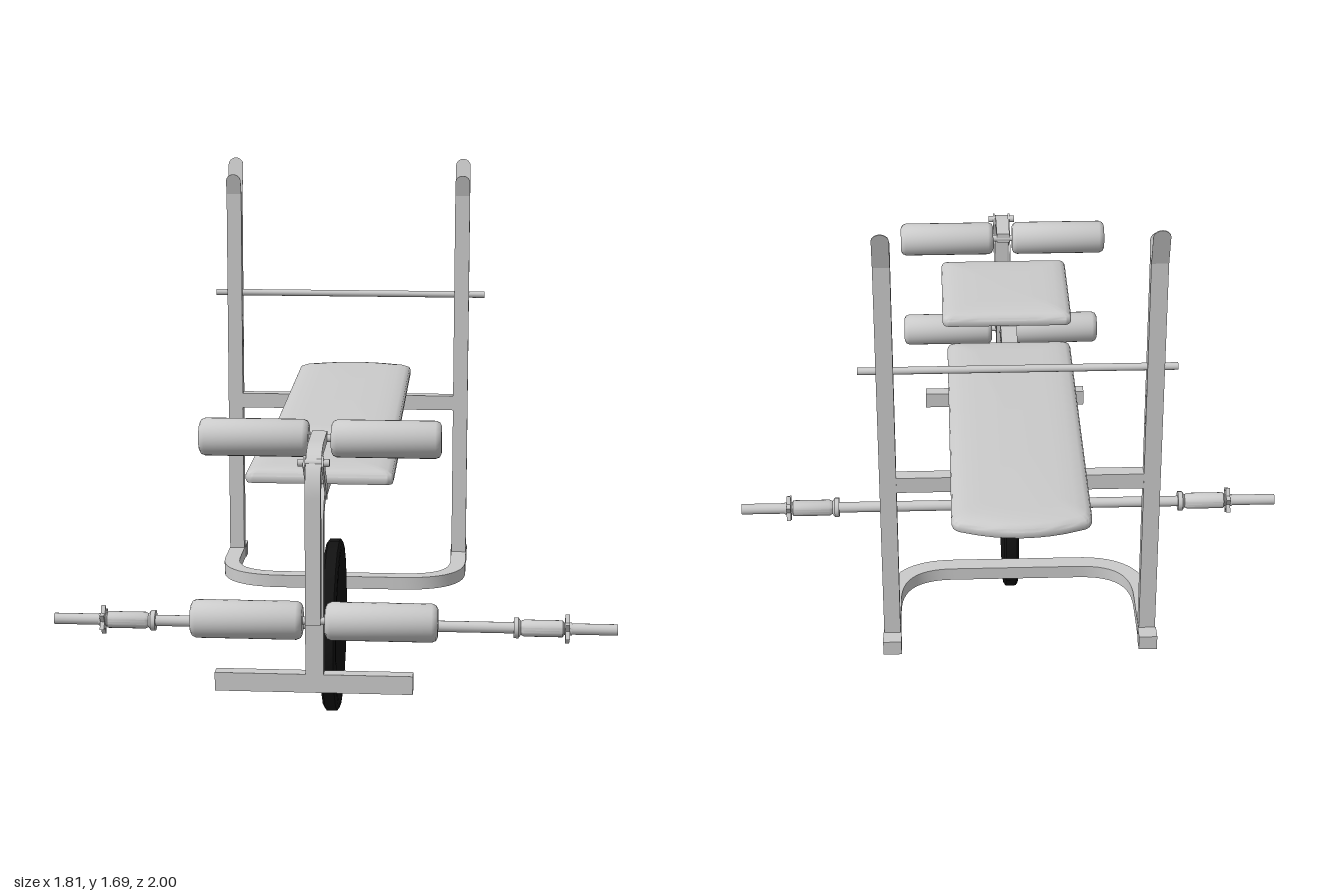
import * as THREE from 'three';
import { toCreasedNormals } from 'three/addons/utils/BufferGeometryUtils.js';

const V = (x, y, z) => new THREE.Vector3(x, y, z);
const grey = new THREE.MeshStandardMaterial({ color: 0xcccccc });
const black = new THREE.MeshStandardMaterial({ color: 0x121212 });

// Closed solid from rings that run counter-clockwise about the loft direction
function loft(rings, crease = 0.6) {
  const n = rings[0].length, last = rings.length - 1, pos = [];
  const tri = (...pts) => pts.forEach(p => pos.push(p.x, p.y, p.z));
  const middle = ring => ring.reduce((s, p) => s.add(p), V(0, 0, 0)).divideScalar(n);
  const m0 = middle(rings[0]), m1 = middle(rings[last]);
  for (let j = 0; j < n; j++) {
    const k = (j + 1) % n;
    for (let i = 0; i < last; i++) {
      const a = rings[i], b = rings[i + 1];
      tri(a[j], a[k], b[k]);
      tri(a[j], b[k], b[j]);
    }
    tri(m0, rings[0][k], rings[0][j]);
    tri(m1, rings[last][j], rings[last][k]);
  }
  const g = new THREE.BufferGeometry();
  g.setAttribute('position', new THREE.Float32BufferAttribute(pos, 3));
  return toCreasedNormals(g, crease);
}

// Rectangular tube swept along a flat path; side is the normal of that plane
function tube(curve, side, width, depth, steps) {
  const rings = [];
  for (let i = 0; i <= steps; i++) {
    const p = curve.getPoint(i / steps), v = curve.getTangent(i / steps).cross(side).normalize();
    rings.push([[1, 1], [-1, 1], [-1, -1], [1, -1]].map(([a, b]) =>
      p.clone().addScaledVector(side, a * width / 2).addScaledVector(v, b * depth / 2)));
  }
  return loft(rings);
}

// Path of straight runs with rounded corners: [point, cornerRadius]
function bentPath(points) {
  const path = [];
  let from = points[0][0];
  for (let i = 1; i < points.length; i++) {
    const [p, r] = points[i];
    if (!r) { path.push([from, p]); break; }
    const a = p.clone().add(from.clone().sub(p).setLength(r));
    const b = p.clone().add(points[i + 1][0].clone().sub(p).setLength(r));
    path.push([from, a], [a, p, b]);
    from = b;
  }
  const curve = new THREE.CurvePath();
  path.forEach(s => curve.add(s.length === 2 ? new THREE.LineCurve3(...s) : new THREE.QuadraticBezierCurve3(...s)));
  return curve;
}

// Upholstered pad: rounded outline, flat base, softly domed top
function pad(hw, hl, r, bulge) {
  const s = new THREE.Shape();
  s.moveTo(-hw + r, -hl);
  s.lineTo(hw - r, -hl);
  s.quadraticCurveTo(hw, -hl, hw, -hl + r);
  s.lineTo(hw, hl - r - bulge);
  s.quadraticCurveTo(hw, hl - bulge, hw - r, hl - bulge * 0.8);
  s.quadraticCurveTo(0, hl + bulge * 0.8, -hw + r, hl - bulge * 0.8);
  s.quadraticCurveTo(-hw, hl - bulge, -hw, hl - r - bulge);
  s.lineTo(-hw, -hl + r);
  s.quadraticCurveTo(-hw, -hl, -hw + r, -hl);
  const outline = s.getPoints(8);
  outline.pop();
  const profile = [[-0.022, 0.003], [-0.014, 0], [-0.002, 0], [0.007, 0.004], [0.014, 0.018], [0.019, 0.045], [0.022, 0.085]];
  return loft(profile.map(([y, d]) => outline.map(p => V(p.x * (1 - d / hw), y, -p.y * (1 - d / hl)))), 0.9);
}

// Solid of revolution lying along x; profile is [radius, x]
function turned(profile, segments, crease = 0.6) {
  const g = new THREE.LatheGeometry(profile.map(p => new THREE.Vector2(...p)), segments);
  return toCreasedNormals(g.rotateZ(-Math.PI / 2), crease);
}
const rod = (r, length) => new THREE.CylinderGeometry(r, r, length, 16).rotateZ(Math.PI / 2);

export function createModel() {
  const model = new THREE.Group();
  const add = (name, geometry, x = 0, y = 0, z = 0, material = grey) => {
    const m = new THREE.Mesh(geometry, material);
    m.name = name;
    m.position.set(x, y, z);
    model.add(m);
    return m;
  };
  const box = (name, w, h, d, x, y, z) => add(name, new THREE.BoxGeometry(w, h, d), x, y, z);
  const X = V(1, 0, 0), Y = V(0, 1, 0), rackZ = -0.626;

  // Rack uprights with pin holes, bar hooks and feet
  const post = new THREE.Shape([[-0.022, 0.3], [0.022, 0.3], [0.022, 1.58], [-0.022, 1.58]].map(p => new THREE.Vector2(...p)));
  for (const y of [1.056, 1.146, 1.235]) post.holes.push(new THREE.Path().absarc(0, y, 0.012, 0, Math.PI * 2, true));
  const postGeo = new THREE.ExtrudeGeometry(post, { depth: 0.05, bevelEnabled: false }).translate(0, 0, -0.025).rotateY(-Math.PI / 2);
  const hook = length => {
    const s = new THREE.Shape();
    s.moveTo(-0.025, 0);
    s.lineTo(0.025, 0);
    s.lineTo(0.025, length - 0.025);
    s.absarc(0, length - 0.025, 0.025, 0, Math.PI, false);
    return new THREE.ExtrudeGeometry(s, { depth: 0.003, bevelEnabled: false, curveSegments: 8 }).translate(0, 0, -0.0015);
  };
  const postX = [-0.398, 0.385];
  for (const x of postX) {
    add('upright', postGeo, x, 0, rackZ);
    add('frontHook', hook(0.073), x, 1.575, -0.606).rotation.x = 0.265;
    add('backHook', hook(0.125), x, 1.575, -0.646).rotation.x = -0.284;
    box('footCap', 0.056, 0.046, 0.05, x, 0.304, -0.673);
  }
  add('safetyBar', rod(0.011, 0.926), 0, 1.235, rackZ);
  box('crossBar', 0.75, 0.05, 0.04, -0.006, 0.857, rackZ);
  box('crossBarBracket', 0.17, 0.012, 0.04, 0, 0.829, rackZ);

  // Curved floor frame joining the uprights
  const [xr, xl] = postX;
  const base = bentPath([[V(xr, 0.304, -0.69)], [V(xr, 0.304, -0.28), 0.19], [V(xl, 0.304, -0.28), 0.19], [V(xl, 0.304, -0.69)]]);
  add('baseFrame', tube(base, Y, 0.042, 0.052, 60));

  // Spine bending down into the front leg
  const spine = bentPath([[V(-0.005, 0.855, -0.61)], [V(-0.005, 0.855, 0.826), 0.09], [V(-0.005, 0.3, 0.826)]]);
  add('spineAndFrontLeg', tube(spine, X, 0.053, 0.038, 120));
  box('frontFoot', 0.575, 0.055, 0.042, -0.008, 0.31, 0.824);

  // Pads
  add('backPad', pad(0.2, 0.58, 0.03, 0.045), 0, 0.904, -0.42).rotation.x = 0.0235;
  add('seatPad', pad(0.215, 0.217, 0.025, 0), 0, 0.9, 0.521);

  // Leg lever with foam rollers
  const lever = bentPath([[V(0, 1.012, 0.7)], [V(0, 1.005, 0.945), 0.12], [V(0, 0.52, 0.945)]]);
  add('legLever', tube(lever, X, 0.044, 0.032, 60));
  for (const side of [-1, 1]) {
    const brace = box('leverBrace', 0.006, 0.035, 0.2, side * 0.026, 0.924, 0.857);
    brace.rotation.x = -0.71;
  }
  add('leverPivot', rod(0.011, 0.09), 0, 0.982, 0.92);
  add('weightPeg', new THREE.CylinderGeometry(0.01, 0.01, 0.235, 12).rotateX(Math.PI / 2), 0, 0.59, 0.832);
  const foam = turned([[0, -0.159], [0.04, -0.159], [0.05, -0.154], [0.055, -0.142], [0.055, 0.142], [0.05, 0.154], [0.04, 0.159], [0, 0.159]], 28, 0.9);
  for (const [y, z] of [[1.008, 0.71], [0.53, 0.945]]) {
    add('rollerBar', rod(0.011, 0.5), 0, y, z);
    for (const side of [-1, 1]) add('foamRoller', foam, 0.0025 + side * 0.1915, y, z);
  }

  // Barbell resting on one weight plate
  const barY = 0.278, barZ = 0.145;
  add('barbell', rod(0.018, 1.81), 0, barY, barZ);
  const face = [[0, 0.012], [0.06, 0.012], [0.15, 0.016], [0.21, 0.022], [0.25, 0.025], [0.265, 0.024], [0.275, 0.017]];
  const plate = [...face.map(([r, x]) => [r, -x]), ...face.reverse()];
  add('weightPlate', turned(plate, 20, 0.9), 0, barY, barZ, black);
  const collar = turned([[0.018, -0.085], [0.033, -0.085], [0.033, -0.07], [0.022, -0.062], [0.027, -0.052], [0.027, 0.07], [0.02, 0.075], [0.02, 0.1], [0.018, 0.1]], 20);
  const star = new THREE.Shape(Array.from({ length: 12 }, (_, i) => {
    const r = i % 2 ? 0.028 : 0.048, a = i * Math.PI / 6 + Math.PI / 6;
    return new THREE.Vector2(r * Math.cos(a), r * Math.sin(a));
  }));
  const starGeo = new THREE.ExtrudeGeometry(star, { depth: 0.014, bevelEnabled: false }).translate(0, 0, -0.007).rotateY(Math.PI / 2);
  for (const side of [-1, 1]) {
    const c = add('collar', collar, side * 0.66, barY, barZ);
    if (side < 0) c.rotation.y = Math.PI;
    add('collarNut', starGeo, side * 0.745, barY, barZ);
  }
  return model;
}
